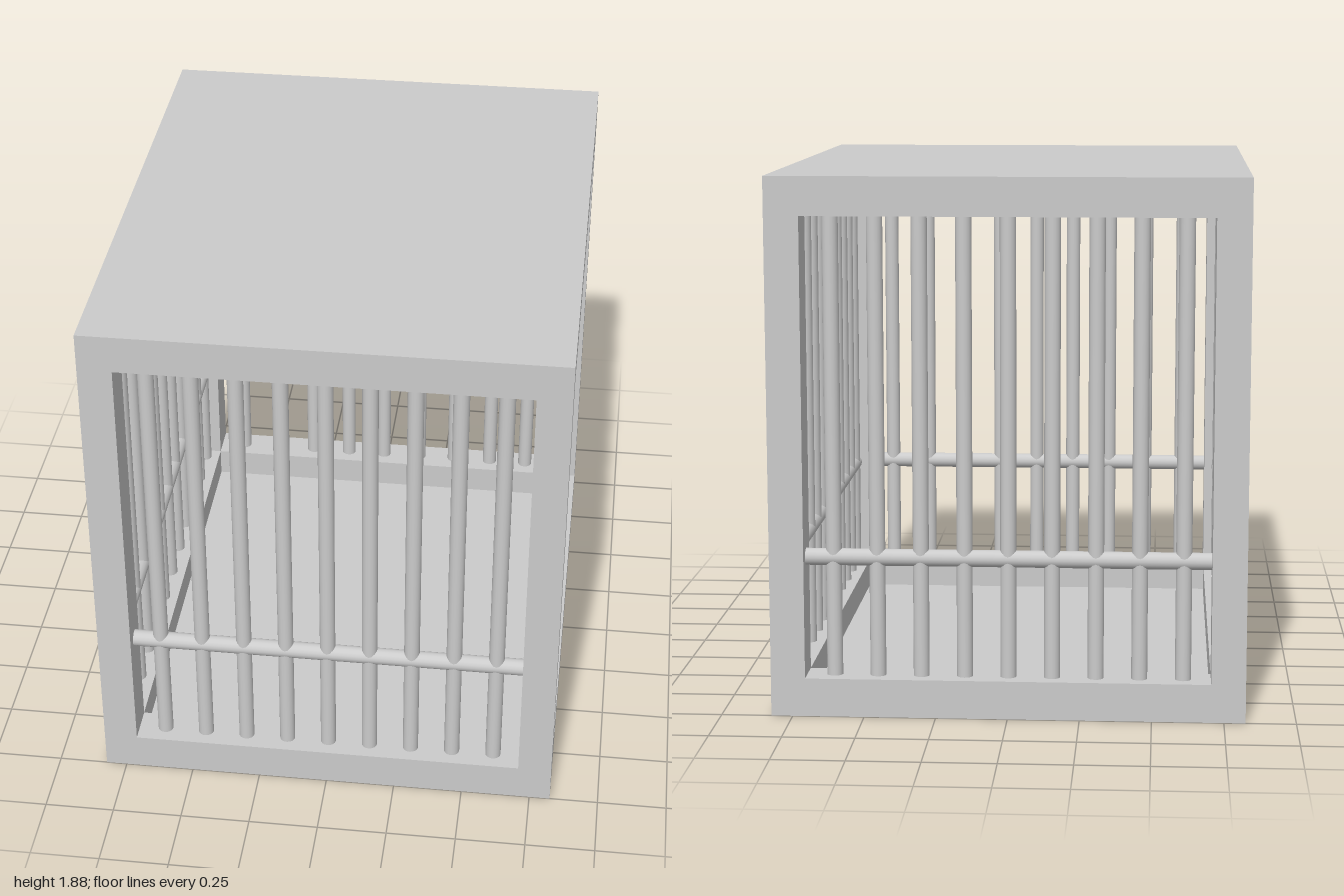
import * as THREE from 'three';

const W = 1.65, H = 1.88, D = 2;          // overall size
const TX = 0.12, TY = 0.135, TZ = 0.14;   // frame thickness along each axis
const BAR_R = 0.028, RAIL_R = 0.03, RAIL_Y = 0.555;

export function createModel() {
  const model = new THREE.Group();
  const material = new THREE.MeshStandardMaterial({ color: 0xcccccc });

  const add = (name, geometry, x, y, z) => {
    const mesh = new THREE.Mesh(geometry, material);
    mesh.name = name;
    mesh.position.set(x, y, z);
    model.add(mesh);
    return mesh;
  };
  const box = (name, w, h, d, x, y, z) => add(name, new THREE.BoxGeometry(w, h, d), x, y, z);

  const px = (W - TX) / 2, pz = (D - TZ) / 2;   // centre lines of the frame
  const innerW = W - 2 * TX, innerH = H - 2 * TY, innerD = D - 2 * TZ;

  // Corner posts
  for (const sx of [-1, 1])
    for (const sz of [-1, 1]) box('cornerPost', TX, H, TZ, sx * px, H / 2, sz * pz);

  // Top and bottom beams
  for (const y of [TY / 2, H - TY / 2]) {
    for (const s of [-1, 1]) {
      box('crossBeam', innerW, TY, TZ, 0, y, s * pz);
      box('sideBeam', TX, TY, innerD, s * px, y, 0);
    }
  }

  // Thin floor, a hair above the underside, and roof flush with the top
  box('floorPanel', innerW, 0.02, innerD, 0, 0.016, 0);
  box('roofPanel', innerW, 0.02, innerD, 0, H - 0.01, 0);

  // Upright bars and one horizontal rail on every face
  const barGeometry = new THREE.CylinderGeometry(BAR_R, BAR_R, innerH + 0.02, 16, 1, true);
  const bar = (name, x, z) => add(name, barGeometry, x, H / 2, z);
  const railGeometry = (length) => new THREE.CylinderGeometry(RAIL_R, RAIL_R, length + 0.02, 16, 1, true);
  for (const s of [-1, 1]) {
    for (let i = -4; i <= 4; i++) bar(s > 0 ? 'frontBar' : 'backBar', i * 0.152, s * pz);
    for (let i = -5; i <= 5; i++) bar(s > 0 ? 'leftBar' : 'rightBar', s * px, i * 0.163);
    add(s > 0 ? 'frontRail' : 'backRail', railGeometry(innerW), 0, RAIL_Y, s * pz).rotation.z = Math.PI / 2;
    add(s > 0 ? 'leftRail' : 'rightRail', railGeometry(innerD), s * px, RAIL_Y, 0).rotation.x = Math.PI / 2;
  }

  return model;
}
